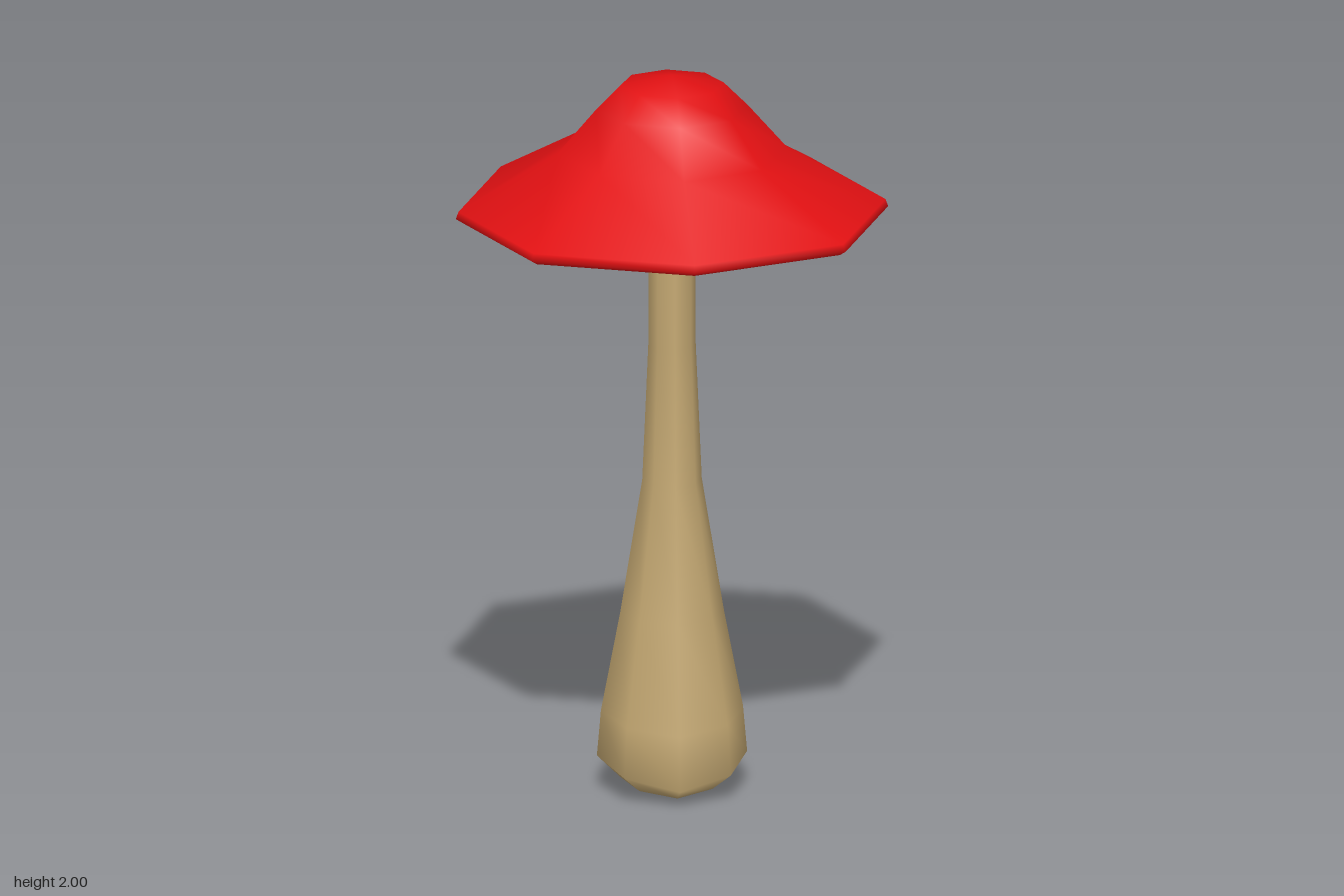
import * as THREE from 'three';
import { mergeVertices } from 'three/addons/utils/BufferGeometryUtils.js';

// Eight-sided turned form, reshaped by a rule and smoothly shaded without a seam
function turned(name, color, profile, reshape) {
  const geo = new THREE.LatheGeometry(profile.map(([r, y]) => new THREE.Vector2(r, y)), 8);
  const pos = geo.attributes.position;
  const v = new THREE.Vector3();
  for (let i = 0; i < pos.count; i++) {
    reshape(v.fromBufferAttribute(pos, i));
    pos.setXYZ(i, v.x, v.y, v.z);
  }
  geo.deleteAttribute('uv');
  geo.deleteAttribute('normal');
  const smooth = mergeVertices(geo, 1e-4);
  smooth.computeVertexNormals();
  const mesh = new THREE.Mesh(smooth, new THREE.MeshStandardMaterial({ color }));
  mesh.name = name;
  return mesh;
}

export function createModel() {
  const group = new THREE.Group();
  group.name = 'mushroom';

  // Stem: bulbous foot tapering to a slim neck, narrower across x
  group.add(turned('stem', 0xc4a872, [
    [0, 0.005], [0.14, 0.015], [0.203, 0.05], [0.192, 0.2], [0.145, 0.5],
    [0.094, 0.87], [0.08, 1.25], [0.08, 1.53], [0.07, 1.63], [0, 1.64],
  ], (v) => {
    v.x *= 1 - 0.2 * THREE.MathUtils.smoothstep(v.y, 0.25, 1.2);
    // The foot curves upward toward both sides
    v.y += 1.25 * v.x * v.x * (1 - THREE.MathUtils.smoothstep(v.y, 0.05, 0.4));
  }));

  // Cap: shallow underside, thin rolled rim, flared skirt and domed crown
  group.add(turned('cap', 0xe01012, [
    [0, 1.62], [0.4, 1.62], [0.48, 1.603], [0.565, 1.603], [0.584, 1.615], [0.577, 1.635],
    [0.31, 1.79], [0.205, 1.91], [0.14, 1.975], [0, 2],
  ], (v) => {
    // Diagonal corners reach slightly further out
    const r = Math.hypot(v.x, v.z);
    if (r > 0.4 && Math.abs(v.x * v.z) > 0.01) {
      v.x *= 1.025;
      v.z *= 1.025;
    }
  }));

  return group;
}
